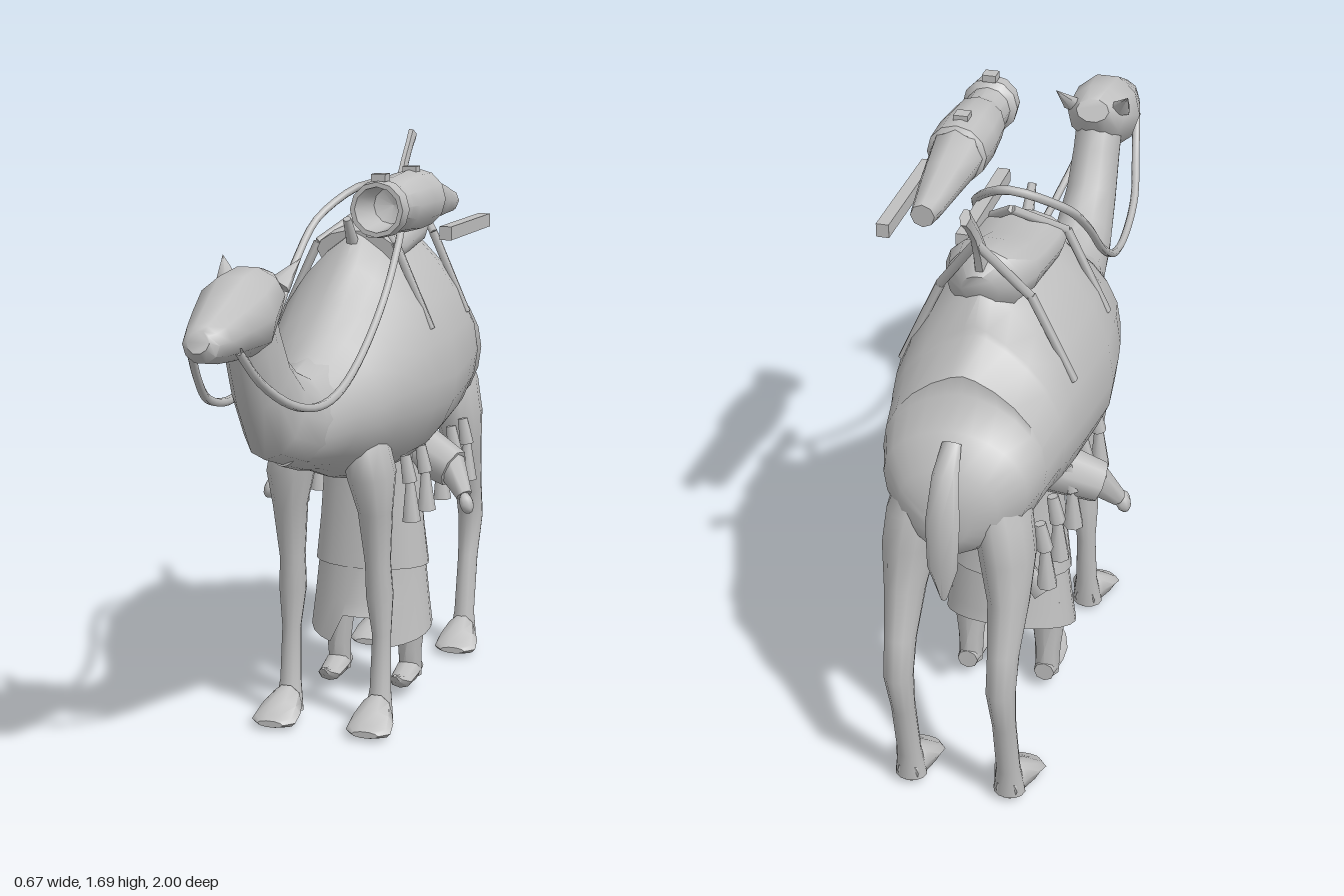
import * as THREE from 'three';
import { toCreasedNormals } from 'three/addons/utils/BufferGeometryUtils.js';

const clay = new THREE.MeshStandardMaterial({ color: 0xc0c0c0, side: THREE.DoubleSide });
clay.name = 'plain grey';
const V = (x, y, z) => new THREE.Vector3(x, y, z);

export function createModel() {
  const model = new THREE.Group();
  model.name = 'packCamel';

  const add = (name, geo, pos = [0, 0, 0], rot = [0, 0, 0], scale = [1, 1, 1]) => {
    const m = new THREE.Mesh(geo, clay);
    m.name = name;
    m.position.set(...pos);
    m.rotation.set(...rot);
    m.scale.set(...scale);
    model.add(m);
    return m;
  };
  const box = (name, w, h, d, pos) => add(name, new THREE.BoxGeometry(w, h, d), pos);

  // Skin a list of equal-length rings of points, with fan caps
  const skin = (name, rings, caps = true) => {
    const n = rings[0].length, pos = [], idx = [];
    rings.flat().forEach(p => pos.push(p.x, p.y, p.z));
    for (let r = 0; r < rings.length - 1; r++) for (let i = 0; i < n; i++) {
      const j = (i + 1) % n, a = r * n + i, b = r * n + j;
      idx.push(a, b, b + n, a, b + n, a + n);
    }
    const last = (rings.length - 1) * n;
    if (caps) for (let i = 1; i < n - 1; i++) {
      idx.push(0, i + 1, i, last, last + i, last + i + 1);
    }
    const g = new THREE.BufferGeometry();
    g.setAttribute('position', new THREE.Float32BufferAttribute(pos, 3));
    g.setIndex(idx);
    return add(name, toCreasedNormals(g, 0.9));
  };

  // Elliptical rings [x, y, z, halfWidth, halfDepth] along a path bending in the YZ plane
  const ringsAlong = (pts, n = 12) => pts.map((p, k) => {
    const a = pts[Math.max(k - 1, 0)], b = pts[Math.min(k + 1, pts.length - 1)];
    const l = Math.hypot(b[1] - a[1], b[2] - a[2]), ty = (b[1] - a[1]) / l, tz = (b[2] - a[2]) / l;
    return Array.from({ length: n }, (_, i) => {
      const t = i / n * Math.PI * 2, c = Math.cos(t) * p[3], s = Math.sin(t) * p[4];
      return V(p[0] + c, p[1] + s * tz, p[2] - s * ty);
    });
  });
  const loft = (name, pts, n) => skin(name, ringsAlong(pts, n));

  // Tapered rod between two points
  const rod = (name, a, b, ra, rb = ra, sides = 8) => {
    const A = V(...a), B = V(...b), d = B.clone().sub(A);
    const m = add(name, new THREE.CylinderGeometry(rb, ra, d.length(), sides));
    m.position.copy(A).add(B).multiplyScalar(0.5);
    m.quaternion.setFromUnitVectors(V(0, 1, 0), d.normalize());
    return m;
  };

  // Body: sections [z, top, widest height, bottom, half width, slope of the hump]; steps are blanket edges
  const sections = [
    [-0.945, 1.0, 0.94, 0.86, 0.06, 1], [-0.92, 1.07, 0.97, 0.82, 0.13, 1], [-0.86, 1.15, 1.0, 0.79, 0.19, 1.1],
    [-0.785, 1.215, 1.02, 0.78, 0.212, 1.2], [-0.78, 1.265, 1.02, 0.77, 0.217, 1.4], [-0.67, 1.325, 1.03, 0.76, 0.235, 1.5],
    [-0.665, 1.345, 1.03, 0.76, 0.238, 1.55], [-0.6, 1.42, 1.03, 0.74, 0.25, 1.65], [-0.5, 1.455, 1.03, 0.73, 0.265, 1.7],
    [-0.3, 1.46, 1.01, 0.71, 0.278, 1.7], [-0.17, 1.43, 1.01, 0.71, 0.262, 1.65], [-0.1, 1.36, 1.01, 0.72, 0.25, 1.55],
    [0.03, 1.255, 1.0, 0.75, 0.22, 1.4], [0.12, 1.19, 0.98, 0.78, 0.185, 1.3],
    [0.2, 1.135, 0.97, 0.805, 0.145, 1.2], [0.3, 1.095, 0.96, 0.825, 0.11, 1.1], [0.42, 1.06, 0.95, 0.86, 0.06, 1]];
  skin('body', sections.map(([z, top, mid, bot, w, slope]) => Array.from({ length: 24 }, (_, i) => {
    const t = i / 24 * Math.PI * 2, s = Math.sin(t), c = Math.cos(t);
    const x = Math.sign(c) * w * Math.abs(c) ** (s > 0 ? slope : 1.2);
    return V(x, mid + s * (s > 0 ? top - mid : mid - bot), z);
  })));

  // Neck and head
  loft('neck', [[0, 0.98, 0.16, 0.13, 0.16], [0, 0.975, 0.34, 0.1, 0.13], [0, 1.02, 0.48, 0.085, 0.135],
    [0, 1.12, 0.575, 0.075, 0.11], [0, 1.23, 0.635, 0.07, 0.1], [0, 1.33, 0.68, 0.07, 0.09]]);
  loft('head', [[0, 1.39, 0.575, 0.05, 0.035], [0, 1.36, 0.63, 0.09, 0.083], [0, 1.315, 0.74, 0.108, 0.115],
    [0, 1.295, 0.85, 0.085, 0.085], [0, 1.28, 0.93, 0.065, 0.062], [0, 1.277, 0.975, 0.05, 0.048],
    [0, 1.285, 0.993, 0.03, 0.03]], 10);

  // Tail with a drooping tuft
  loft('tail', [[0, 0.72, -0.98, 0.008, 0.006], [0, 0.82, -0.985, 0.04, 0.014], [0, 0.95, -0.975, 0.045, 0.02],
    [0, 1.07, -0.94, 0.035, 0.025], [0, 1.13, -0.88, 0.025, 0.02]], 8);

  for (const s of [1, -1]) {
    const side = s > 0 ? 'left' : 'right';
    const x = 0.14 * s;
    add(side + 'Ear', new THREE.ConeGeometry(0.036, 0.1, 6), [0.09 * s, 1.415, 0.595], [-0.75, 0, -0.4 * s], [1, 1, 0.6]);

    // Legs, from the ground up, running into the body
    loft(side + 'FrontLeg', [[x, 0.03, 0.005, 0.045, 0.035], [x, 0.12, -0.01, 0.032, 0.03],
      [x, 0.28, -0.02, 0.028, 0.03], [x * 0.96, 0.4, -0.018, 0.04, 0.046], [x * 0.94, 0.5, -0.008, 0.037, 0.045],
      [x * 0.93, 0.66, 0.012, 0.05, 0.063], [x * 0.87, 0.77, 0.025, 0.07, 0.092],
      [x * 0.75, 0.87, 0.035, 0.065, 0.09], [x * 0.5, 0.96, 0.035, 0.04, 0.06]], 12);
    loft(side + 'HindLeg', [[x, 0.03, -0.88, 0.045, 0.035], [x, 0.12, -0.89, 0.033, 0.033],
      [x, 0.3, -0.925, 0.032, 0.037], [x, 0.43, -0.952, 0.04, 0.047], [x, 0.53, -0.925, 0.042, 0.056],
      [x, 0.66, -0.868, 0.054, 0.08], [x * 0.93, 0.79, -0.835, 0.073, 0.106],
      [x * 0.82, 0.9, -0.825, 0.075, 0.108], [x * 0.6, 1.04, -0.81, 0.05, 0.08]], 12);

    // Broad splayed feet
    for (const [name, z] of [['FrontFoot', 0], ['HindFoot', -0.885]])
      loft(side + name, [[x, 0.05, z - 0.025, 0.03, 0.035], [x, 0.058, z + 0.025, 0.048, 0.054],
        [x * 1.02, 0.045, z + 0.075, 0.065, 0.038], [x * 1.04, 0.028, z + 0.12, 0.068, 0.022],
        [x * 1.04, 0.027, z + 0.15, 0.04, 0.01]], 10);

    // Saddle frame struts hugging the flanks
    for (const [z, zTop, yTop] of [[-0.2, -0.31, 1.5], [-0.57, -0.64, 1.57]]) {
      rod(side + 'SaddleStrutUpper', [0, yTop, zTop], [0.12 * s, 1.4, z], 0.013, 0.013, 5);
      rod(side + 'SaddleStrutLower', [0.12 * s, 1.4, z], [0.232 * s, 1.16, z + 0.01], 0.014, 0.012, 5);
    }

    // Tassels along the lower blanket edge
    for (const z of [-0.11, -0.26, -0.42, -0.575, -0.705]) {
      rod(side + 'TasselCord', [0.18 * s, 0.8, z], [0.195 * s, 0.72, z], 0.016, 0.022, 6);
      rod(side + 'Tassel', [0.195 * s, 0.725, z], [0.2 * s, 0.605, z], 0.013, 0.028, 7);
    }

    // Attendant's arms, legs and curled shoes
    rod(side + 'Sleeve', [0.13 * s, 0.77, -0.39], [0.255 * s, 0.715, -0.355], 0.075, 0.06);
    rod(side + 'Forearm', [0.24 * s, 0.73, -0.36], [0.3 * s, 0.645, -0.315], 0.048, 0.025);
    add(side + 'Hand', new THREE.SphereGeometry(0.03, 8, 6), [0.312 * s, 0.625, -0.3], [0, 0, 0.3 * s], [0.7, 1.1, 1]);
    const fx = 0.115 * s;
    loft(side + 'AttendantLeg', [[fx, 0.05, -0.385, 0.035, 0.035], [fx, 0.14, -0.375, 0.038, 0.045],
      [fx, 0.32, -0.37, 0.06, 0.06]], 8);
    loft(side + 'Shoe', [[fx, 0.07, -0.42, 0.03, 0.03], [fx, 0.07, -0.35, 0.04, 0.033],
      [fx, 0.058, -0.28, 0.035, 0.022], [fx, 0.075, -0.24, 0.02, 0.012], [fx, 0.09, -0.225, 0.005, 0.005]], 8);
  }

  // Rounded saddle cushion, front pommel and tall, thin rear horn
  loft('saddleCushion', [[0, 1.42, -0.615, 0.05, 0.05], [0, 1.43, -0.58, 0.1, 0.095], [0, 1.425, -0.5, 0.125, 0.085],
    [0, 1.405, -0.4, 0.125, 0.07], [0, 1.39, -0.28, 0.13, 0.07], [0, 1.38, -0.19, 0.12, 0.06]], 14);
  rod('pommel', [0, 1.38, -0.18], [0, 1.48, -0.11], 0.02, 0.012, 6);
  loft('rearHorn', [[0, 1.42, -0.575, 0.022, 0.03], [0, 1.53, -0.61, 0.018, 0.028], [0, 1.6, -0.65, 0.013, 0.021],
    [0, 1.655, -0.7, 0.013, 0.02], [0, 1.685, -0.73, 0.014, 0.024]], 6);

  // Reins looping from mouth to mouth over the saddle
  const half = [[0.065, 1.25, 0.89], [0.085, 1.16, 0.8], [0.115, 1.08, 0.66], [0.13, 1.045, 0.47],
    [0.138, 1.075, 0.3], [0.148, 1.2, 0.09], [0.148, 1.36, -0.09], [0.12, 1.48, -0.23]];
  const loop = [...half, [0, 1.565, -0.33], ...[...half].reverse().map(([x, y, z]) => [-x, y, z])];
  add('reins', new THREE.TubeGeometry(new THREE.CatmullRomCurve3(loop.map(p => V(...p))), 72, 0.012, 6));

  // Attendant's robe: slanting hem with a notch in front, and an upper layer
  const hemRobe = ringsAlong([[0, 0.2, -0.35, 0.19, 0.137], [0, 0.3, -0.355, 0.18, 0.125],
    [0, 0.45, -0.355, 0.165, 0.105], [0, 0.62, -0.35, 0.15, 0.09], [0, 0.78, -0.355, 0.14, 0.08]], 24);
  hemRobe[0].forEach(p => { p.y = Math.abs(p.x) < 0.08 ? 0.265 : 0.215 - (p.z + 0.345) * 0.35; });
  skin('robe', hemRobe, false);
  skin('robeUpperLayer', ringsAlong([[0, 0.415, -0.355, 0.178, 0.115], [0, 0.55, -0.35, 0.163, 0.1],
    [0, 0.78, -0.355, 0.15, 0.085]], 20), false);
  // Slung case on the attendant's back
  rod('backCase', [0.1, 0.72, -0.46], [-0.13, 0.42, -0.5], 0.035, 0.035, 4);

  // Swivel gun: hollow barrel turned on a lathe, pointing forward
  const profile = [[0.0, 0.1], [0.05, 0.12], [0.062, 0.25], [0.075, 0.25], [0.08, 0.205], [0.064, 0.185],
    [0.064, 0.12], [0.077, 0.09], [0.086, -0.02], [0.084, -0.12], [0.07, -0.13], [0, -0.13]];
  add('gunBarrel', toCreasedNormals(new THREE.LatheGeometry(
    profile.map(([r, y]) => new THREE.Vector2(r, y)), 12), 0.6), [0.208, 1.545, 0], [Math.PI / 2, 0, 0]);
  loft('gunStock', [[0.208, 1.512, -0.43, 0.033, 0.033], [0.208, 1.515, -0.38, 0.042, 0.04],
    [0.208, 1.53, -0.25, 0.06, 0.058], [0.208, 1.545, -0.1, 0.078, 0.08]], 8);
  for (const z of [0.215, -0.06]) box('gunSight', 0.04, 0.02, 0.04, [0.208, 1.63, z]);
  // Carrying rails beside the gun
  for (const x of [0.1, 0.317]) box('rail', 0.035, 0.038, 0.4, [x, 1.457, -0.235]);

  return model;
}
